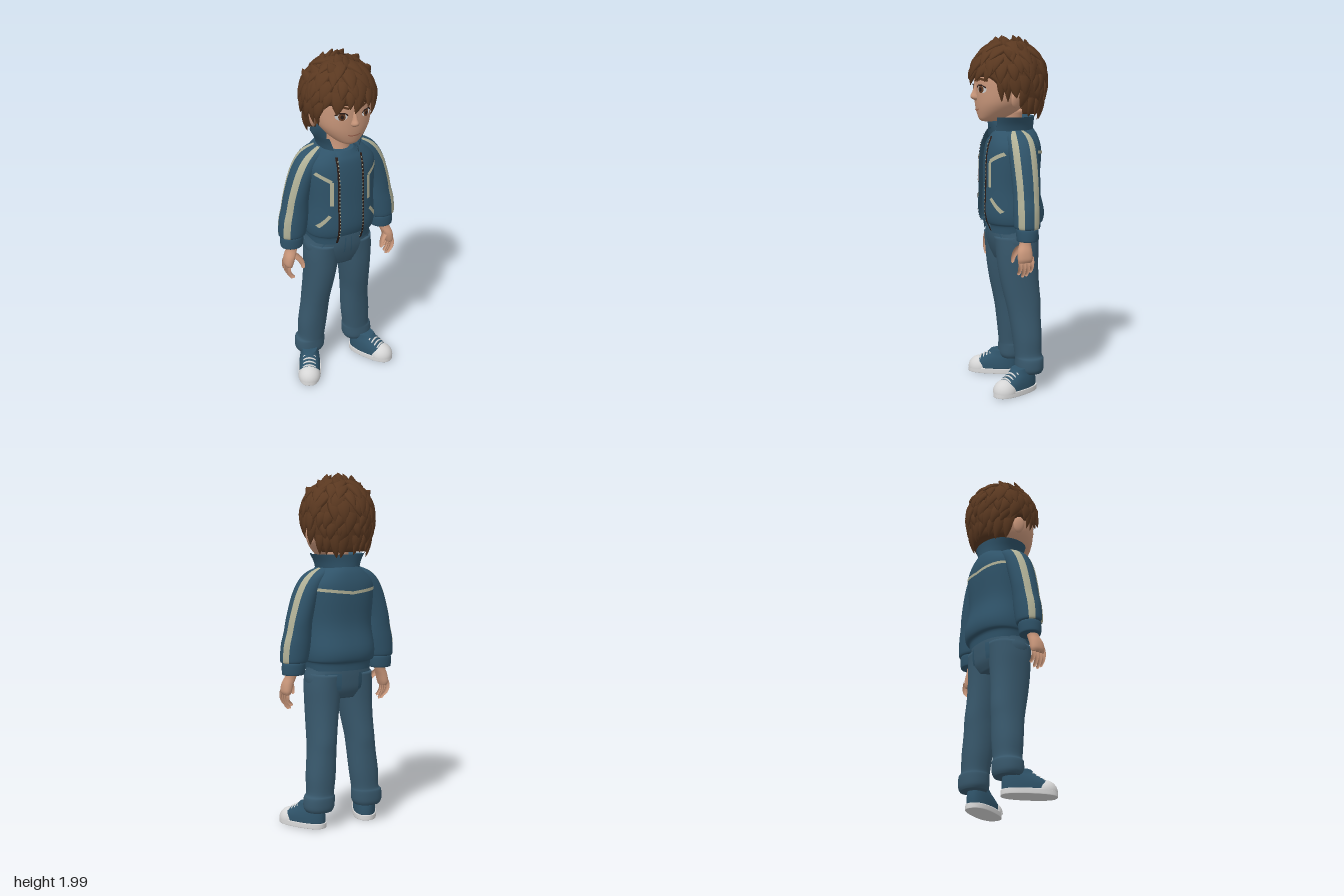
import * as THREE from 'three';
import { mergeGeometries } from 'three/addons/utils/BufferGeometryUtils.js';

const mat = (name, color, side = THREE.FrontSide) => {
  const m = new THREE.MeshStandardMaterial({ color, side });
  m.name = name;
  return m;
};
const V = (x, y, z) => new THREE.Vector3(x, y, z);
const smooth = THREE.MathUtils.smoothstep;

function build(pos, faces) {
  // faces: one index list per material
  const g = new THREE.BufferGeometry();
  g.setAttribute('position', new THREE.Float32BufferAttribute(pos, 3));
  g.setIndex(faces.flat());
  let start = 0;
  if (faces.length > 1) faces.forEach((f, i) => { g.addGroup(start, f.length, i); start += f.length; });
  g.computeVertexNormals();
  return g;
}

// Smooth a list of rings [y, centreX, halfWidth, frontZ, backZ, gap]
function refine(rings, sub = 4) {
  const out = [], n = rings.length;
  for (let i = 0; i < n - 1; i++) {
    const [p, a, b, q] = [rings[Math.max(i - 1, 0)], rings[i], rings[i + 1], rings[Math.min(i + 2, n - 1)]];
    for (let s = 0; s < sub; s++) {
      const t = s / sub;
      out.push(a.map((v, k) => v + 0.5 * t * (b[k] - p[k] + t * (2 * p[k] - 5 * v + 4 * b[k] - q[k]
        + t * (3 * (v - b[k]) + q[k] - p[k])))));
    }
  }
  return [...out, rings[n - 1]];
}

// Skin over horizontal rings, bottom to top; a gap leaves the front open
function loft(rings, { e = 2, segs = 40, pick = () => 0, mats = 1 } = {}) {
  const R = refine(rings), pos = [], faces = Array.from({ length: mats }, () => []);
  const open = rings[0][5] !== undefined, cols = open ? segs + 1 : segs;
  const sp = v => Math.sign(v) * Math.abs(v) ** (2 / e);
  for (const [y, cx, rx, zf, zb, gap = 0] of R) {
    const d = Math.asin(Math.min(1, (gap / rx) ** (e / 2)));
    for (let j = 0; j < cols; j++) {
      const a = Math.PI / 2 + d + (2 * Math.PI - 2 * d) * j / segs;
      pos.push(cx + rx * sp(Math.cos(a)), y, (zf + zb) / 2 + (zf - zb) / 2 * sp(Math.sin(a)));
    }
  }
  for (let i = 0; i < R.length - 1; i++) for (let j = 0; j < segs; j++) {
    const a = i * cols + j, b = i * cols + (j + 1) % cols, c = a + cols, d = b + cols;
    const deg = (90 + 360 * (j + 0.5) / segs + 180) % 360 - 180;
    faces[pick(deg)].push(a, c, b, b, c, d);
  }
  if (!open) [0, R.length - 1].forEach((i, top) => {
    const [y, cx, , zf, zb] = R[i], k = pos.length / 3;
    pos.push(cx, y, (zf + zb) / 2);
    for (let j = 0; j < segs; j++) {
      const a = i * cols + j, b = i * cols + (j + 1) % cols;
      faces[0].push(k, top ? b : a, top ? a : b);
    }
  });
  return build(pos, faces);
}

// Depth of a lofted surface at (x, y)
const surface = (rings, e = 2, side = 1) => {
  const R = refine(rings);
  return (x, y, off = 0.005) => {
    let i = R.findIndex(r => r[0] >= y);
    i = i < 0 ? R.length - 1 : Math.max(i, 1);
    const t = THREE.MathUtils.clamp((y - R[i - 1][0]) / (R[i][0] - R[i - 1][0]), 0, 1);
    const [, cx, rx, zf, zb] = R[i].map((v, k) => R[i - 1][k] + (v - R[i - 1][k]) * t);
    const h = Math.max(0, 1 - Math.abs((x - cx) / rx) ** e) ** (1 / e);
    return (zf + zb) / 2 + side * ((zf - zb) / 2 * h + off);
  };
};

// Flat band laid on a surface along a polyline
function ribbon(pts, w, surf, off = 0.005) {
  const pos = [], idx = [];
  for (let k = 0; k < pts.length - 1; k++) {
    const [x0, y0] = pts[k], [x1, y1] = pts[k + 1], L = Math.hypot(x1 - x0, y1 - y0);
    const nx = -(y1 - y0) / L * w / 2, ny = (x1 - x0) / L * w / 2;
    for (let s = 0; s <= 10; s++) {
      const x = x0 + (x1 - x0) * s / 10, y = y0 + (y1 - y0) * s / 10, i = pos.length / 3;
      for (const q of [1, -1]) pos.push(x + q * nx, y + q * ny, surf(x + q * nx, y + q * ny, off));
      if (s < 10) idx.push(i, i + 1, i + 2, i + 2, i + 1, i + 3);
    }
  }
  return build(pos, [idx]);
}

function disc(cx, cy, rx, ry, surf, off) {
  const g = new THREE.CircleGeometry(1, 24), p = g.attributes.position;
  for (let i = 0; i < p.count; i++) {
    const x = cx + p.getX(i) * rx, y = cy + p.getY(i) * ry;
    p.setXYZ(i, x, y, surf(x, y, off));
  }
  return g;
}

// Tapered, flattened sweep along a bent path
function sweep(p0, p1, p2, w, d, tip = 0.03, out = V(0, 0, 1), n = 7, m = 8) {
  const c = new THREE.QuadraticBezierCurve3(p0, p1, p2), pos = [], idx = [];
  for (let i = 0; i <= n; i++) {
    const t = i / n, p = c.getPoint(t), T = c.getTangent(t);
    const B = V(0, 0, 0).crossVectors(T, out).normalize(), N = V(0, 0, 0).crossVectors(B, T);
    const r = tip + (1 - tip) * (1 - t ** 2);
    for (let j = 0; j < m; j++) {
      const a = 2 * Math.PI * j / m;
      pos.push(...p.clone().addScaledVector(B, w * r * Math.cos(a)).addScaledVector(N, d * r * Math.sin(a)).toArray());
      const q = i * m + j, s = i * m + (j + 1) % m;
      if (i < n) idx.push(q, s, q + m, s, s + m, q + m);
    }
  }
  const end = c.getPoint(1).addScaledVector(c.getTangent(1), Math.min(w, d) * tip);
  pos.push(...end.toArray());
  for (let j = 0; j < m; j++) idx.push(n * m + j, n * m + (j + 1) % m, (n + 1) * m);
  // keep faces pointing outwards
  return build(pos, [idx]);
}

export function createModel() {
  const D = THREE.DoubleSide;
  const skin = mat('skin', 0xc8967a), brown = mat('hair', 0x5a3820, D), blue = mat('jacketBlue', 0x2f5369, D);
  const denim = mat('trouserBlue', 0x38586c), cream = mat('stripeCream', 0xb0b096, D), white = mat('shoeWhite', 0xd6d6d6, D);
  const dark = mat('darkLine', 0x2a1c18, D), iris = mat('iris', 0x6b4026, D), lip = mat('lip', 0xa3644f, D);
  const model = new THREE.Group();
  model.name = 'boy';
  const add = (name, geo, m, parent = model) => {
    const o = new THREE.Mesh(geo, m);
    o.name = name;
    parent.add(o);
    return o;
  };
  // Adds a left part and its mirror image
  const pair = (name, geo, m) => {
    add(name + 'Left', geo, m);
    const g = geo.clone().scale(-1, 1, 1), ix = g.index.array;
    for (let i = 0; i < ix.length; i += 3) [ix[i], ix[i + 1]] = [ix[i + 1], ix[i]];
    add(name + 'Right', g, m);
  };

  // Trousers
  const hips = [[.74, 0, .12, .075, -.12], [.79, 0, .185, .095, -.143], [.85, 0, .2, .112, -.15], [.9, 0, .188, .118, -.152], [.945, 0, .18, .118, -.15]];
  add('hips', loft(hips, { e: 2.3 }), denim);
  pair('leg', loft([[.1, .16, .075, -.01, -.145], [.125, .16, .088, .003, -.155], [.18, .157, .088, .003, -.156], [.205, .15, .078, .004, -.148],
    [.3, .143, .083, .015, -.15], [.42, .132, .079, .033, -.148], [.5, .126, .078, .05, -.15], [.6, .117, .083, .073, -.143],
    [.7, .109, .09, .09, -.14], [.8, .102, .098, .1, -.143], [.88, .095, .098, .108, -.148]], { e: 2.2 }), denim);
  const hipFront = surface(hips, 2.3), hipBack = surface(hips, 2.3, -1);
  pair('drawstring', ribbon([[.018, .93], [.022, .83]], .008, hipFront, .006), blue);
  pair('backPocket', ribbon([[.1, .885], [.1, .79]], .09, (x, y) => hipBack(x, y, .007)), blue);
  pair('frontPocketSeam', ribbon([[.12, .92], [.16, .86]], .006, hipFront, .005), blue);

  // Shoes, turned outwards
  const place = g => g.rotateY(.47).translate(.207, 0, .022);
  pair('sole', place(loft([[0, 0, .066, .15, -.146], [.004, 0, .068, .152, -.148], [.03, 0, .067, .15, -.147]], { e: 2.5 })), white);
  pair('shoeUpper', place(loft([[.028, 0, .063, .14, -.143], [.06, 0, .062, .13, -.143], [.09, 0, .057, .085, -.14],
    [.115, 0, .05, .04, -.135], [.14, 0, .045, .015, -.13]], { e: 2.3 })), blue);
  const cap = new THREE.SphereGeometry(1, 24, 12, 0, 2 * Math.PI, 0, Math.PI / 2).scale(.066, .068, .07).translate(0, .024, .083);
  pair('toeCap', place(cap), white);
  for (let i = 0; i < 4; i++) {
    const z = .075 - i * .02, y = .102 + i * .011;
    pair('lace' + i, place(sweep(V(-.036, y - .022, z), V(0, y + .012, z + .004), V(.036, y - .022, z), .005, .005, 1)), white);
  }

  // Shirt and neck
  add('shirt', loft([[.925, 0, .17, .112, -.13], [1, 0, .18, .134, -.15], [1.15, 0, .18, .132, -.14], [1.3, 0, .18, .128, -.14],
    [1.39, 0, .15, .118, -.13], [1.43, 0, .1, .1, -.11], [1.452, 0, .075, .085, -.1]], { e: 2.4 }), blue);
  add('neckline', new THREE.TorusGeometry(.074, .009, 8, 32).rotateX(Math.PI / 2 + .12).scale(1, 1, 1.15).translate(0, 1.448, -.004), blue);
  add('neck', loft([[1.4, 0, .07, .068, -.08], [1.48, 0, .06, .058, -.075], [1.58, 0, .063, .06, -.085]]), skin);

  // Jacket body and collar, open at the front
  const body = [[.9, 0, .184, .125, -.16, .07], [.943, 0, .19, .13, -.165, .07], [.958, 0, .201, .148, -.188, .07], [1.02, 0, .206, .16, -.195, .07],
    [1.15, 0, .196, .156, -.168, .07], [1.3, 0, .204, .152, -.175, .07], [1.38, 0, .2, .142, -.174, .07], [1.44, 0, .152, .126, -.16, .07], [1.475, 0, .105, .112, -.142, .07]];
  add('jacketBody', loft(body, { e: 2.4, segs: 64 }), blue);
  add('collar', loft([[1.43, 0, .11, .12, -.142, .07], [1.465, 0, .117, .118, -.142, .075], [1.505, 0, .13, .12, -.142, .087], [1.545, 0, .153, .126, -.145, .104]], { e: 2.2 }), blue);
  add('collarLining', loft([[1.43, 0, .1, .108, -.13, .07], [1.5, 0, .12, .11, -.13, .087], [1.543, 0, .15, .122, -.142, .104]], { e: 2.2 }), blue);
  const chest = surface(body, 2.4), back = surface(body, 2.4, -1);
  pair('chestStripe', ribbon([[.185, 1.35], [.112, 1.305], [.112, 1.16]], .02, chest), cream);
  pair('pocketStripe', ribbon([[.122, 1.1], [.18, 1.025]], .018, chest), cream);
  add('backStripe', ribbon([[-.19, 1.355], [0, 1.335], [.19, 1.355]], .017, back), cream);
  pair('zipTape', ribbon([[.074, .91], [.074, 1.44]], .013, chest, .004), dark);
  pair('zipTeeth', mergeGeometries(Array.from({ length: 24 }, (_, i) =>
    ribbon([[.071, .92 + i * .0215], [.071, .928 + i * .0215]], .006, chest, .007))), cream);

  // Sleeves with two stripes, cuffs and hands
  const sleeve = [[.95, .284, .07, .042, -.08], [.965, .283, .08, .053, -.09], [1.05, .273, .085, .054, -.095], [1.12, .262, .078, .052, -.097], [1.2, .25, .073, .054, -.102],
    [1.32, .214, .073, .058, -.106], [1.4, .172, .073, .055, -.106], [1.445, .135, .06, .045, -.095], [1.47, .105, .03, .02, -.065]];
  pair('sleeve', loft(sleeve, { segs: 60, mats: 2, pick: a => (a > 28 && a < 62) || (a > -40 && a < -10) ? 1 : 0 }), [blue, cream]);
  pair('cuff', loft([[.882, .288, .058, .035, -.07], [.89, .288, .065, .04, -.076], [.94, .286, .067, .042, -.08], [.955, .285, .06, .036, -.075]]), blue);
  pair('palm', loft([[.77, .322, .018, .042, -.03], [.79, .322, .026, .047, -.037], [.83, .313, .03, .045, -.036], [.87, .297, .031, .028, -.034], [.91, .29, .034, .024, -.04]], { e: 2.3 }), skin);
  for (let i = 0; i < 4; i++) {
    const z = .036 - i * .022, y = [.705, .69, .695, .715][i];
    pair('finger' + i, sweep(V(.324, .8, z), V(.352, .745, z), V(.305, y, z + .002), .0135, .0135, .65), skin);
  }
  pair('thumb', sweep(V(.305, .85, .03), V(.255, .82, .05), V(.252, .765, .055), .018, .016, .6), skin);

  // Head and face
  const head = [[1.518, 0, .035, .15, .06], [1.53, 0, .06, .165, .03], [1.555, 0, .093, .174, -.02], [1.59, 0, .125, .182, -.07], [1.63, 0, .146, .186, -.1],
    [1.69, 0, .157, .188, -.13], [1.77, 0, .158, .186, -.15], [1.85, 0, .135, .15, -.14], [1.92, 0, .06, .07, -.07]];
  add('head', loft(head, { e: 2.1 }), skin);
  add('nose', loft([[1.634, 0, .012, .193, .17], [1.645, 0, .022, .211, .16], [1.658, 0, .021, .217, .16], [1.68, 0, .014, .207, .16], [1.725, 0, .01, .19, .16]], { segs: 20 }), skin);
  pair('ear', new THREE.SphereGeometry(1, 20, 14).scale(.016, .05, .032).rotateY(.4).rotateZ(-.15).translate(.162, 1.645, .005), skin);
  const face = surface(head, 2.1);
  pair('eyeWhite', disc(.073, 1.697, .03, .021, face, .003), white);
  pair('eyeIris', disc(.071, 1.697, .018, .021, face, .005), iris);
  pair('pupil', disc(.071, 1.697, .009, .011, face, .007), dark);
  pair('eyelid', ribbon([[.042, 1.706], [.056, 1.718], [.085, 1.719], [.105, 1.706]], .007, face, .008), dark);
  pair('eyebrow', ribbon([[.036, 1.742], [.07, 1.754], [.112, 1.744]], .012, face, .006), brown);
  add('mouth', ribbon([[-.036, 1.587], [-.018, 1.581], [.018, 1.581], [.036, 1.587]], .006, face, .004), lip);

  // Hair cap: dome above, falling sides below
  const hairAt = (a, el, k = 1) => {
    const r = k * (el > 0 ? Math.cos(el) : 1 - .18 * el * el);
    return V(-.005 + .195 * r * Math.cos(a), 1.76 + .2 * (el > 0 ? k * Math.sin(el) : el), -.004 + .21 * r * Math.sin(a));
  };
  const edge = f => (1.56 + .13 * smooth(f, -.4, -.1) + .075 * smooth(f, .3, .8) - 1.76) / .2;
  const pos = [], idx = [], A = 72, N = 18;
  for (let i = 0; i <= N + 1; i++) for (let j = 0; j < A; j++) {
    const a = 2 * Math.PI * j / A, e0 = edge(Math.sin(a)), t = Math.min(i / N, 1);
    const wave = 1 + .014 * Math.sin(15 * a + 5 * t) * Math.sin(Math.PI * t);
    pos.push(...hairAt(a, Math.PI / 2 + (e0 - Math.PI / 2) * t, i > N ? .72 : wave).toArray());
    const q = i * A + j, s = i * A + (j + 1) % A;
    if (i <= N) idx.push(q, s, q + A, s, s + A, q + A);
  }
  add('hairCap', build(pos, [idx]), brown);

  // Hair locks in rows: [elevation, count, length, lift, half width]
  let seed = 7;
  const rnd = () => (seed = (seed * 16807) % 2147483647) / 2147483647;
  const locks = [];
  const lock = (a, el, turn, len, lift, w) => locks.push(sweep(hairAt(a, el, .95), hairAt(a + turn / 2, el - len / 2, 1.05),
    hairAt(a + turn, el - len, 1 + lift), w, .017, .03, hairAt(a, el).sub(V(0, 1.76, 0)).normalize()));
  for (const [el, count, len, lift, w] of [[1.25, 8, .55, .06, .045], [.95, 13, .55, .07, .045], [.62, 17, .55, .06, .042], [.36, 20, .5, .06, .038],
    [.05, 20, .5, .05, .036], [-.25, 22, .5, .04, .034], [-.55, 24, .55, .06, .03]]) {
    for (let i = 0; i < count; i++) {
      const a = 2 * Math.PI * (i + rnd() * .6) / count, f = Math.sin(a), size = .8 + .4 * rnd();
      const turn = (rnd() - .35) * .4, bend = lift + (rnd() - .5) * .05;
      if (el - len * .9 > edge(f) - .25) lock(a, el, turn, len * size, bend, w * size);
    }
  }
  // Sideburns and upright crown tufts
  for (const s of [0, 1]) for (const d of [.3, .48]) lock(s ? Math.PI - d : d, .1, 0, .75, -.03, .028);
  for (const [a, el] of [[.4, 1.2], [1.3, 1.15], [2.2, .95], [2.9, .75], [3.6, 1.1], [4.4, 1.2], [5.2, 1], [5.9, .85], [.1, .6], [3.2, .5], [4.8, 1.35], [1.9, 1.3]])
    lock(a, el, .35, -.12, .16, .035);
  add('hairLocks', mergeGeometries(locks), brown);
  return model;
}
